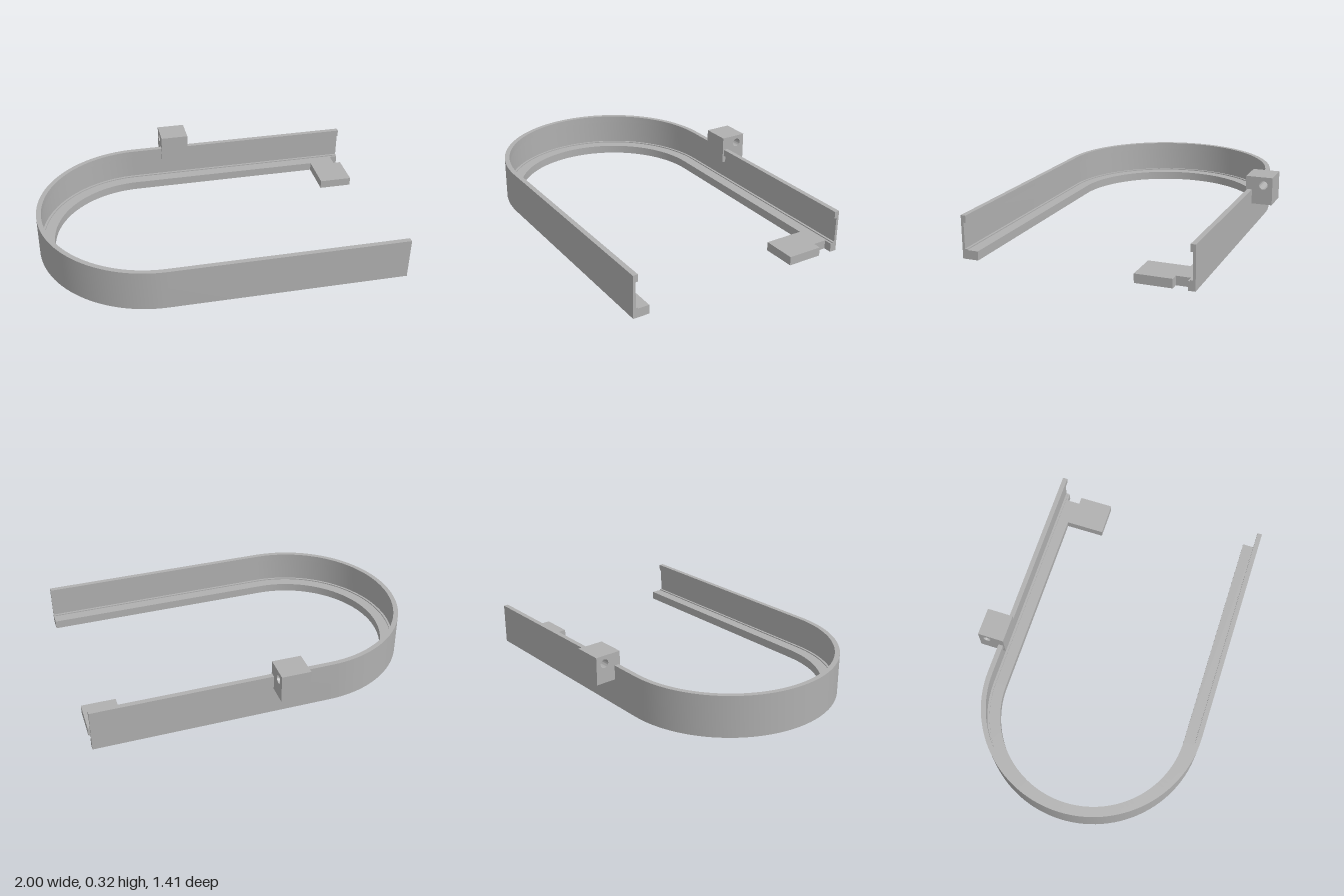
import * as THREE from 'three';
import { toCreasedNormals } from 'three/addons/utils/BufferGeometryUtils.js';

const R = 0.646, CX = -0.354, CZ = 0.059; // bend radius and centre

// Sweep a counter-clockwise [radius, height] profile along stations { x, a }
function sweep(profile, stations) {
  const pos = [];
  const rings = stations.map(({ x, a }) => profile.map(([r, y]) =>
    [x - r * Math.sin(a), y, CZ + r * Math.cos(a)]));
  const tri = (a, b, c) => pos.push(...a, ...b, ...c);
  for (let k = 0; k < rings.length - 1; k++) {
    const p = rings[k], q = rings[k + 1];
    for (let i = 0; i < profile.length; i++) {
      const j = (i + 1) % profile.length;
      tri(p[i], p[j], q[j]);
      tri(p[i], q[j], q[i]);
    }
  }
  // End caps
  const first = rings[0], last = rings[rings.length - 1];
  const faces = THREE.ShapeUtils.triangulateShape(profile.map(p => new THREE.Vector2(...p)), []);
  for (const [a, b, c] of faces) {
    tri(first[a], first[c], first[b]);
    tri(last[a], last[b], last[c]);
  }
  const geo = new THREE.BufferGeometry();
  geo.setAttribute('position', new THREE.Float32BufferAttribute(pos, 3));
  return toCreasedNormals(geo, 0.5);
}

function polygon(points) {
  return new THREE.Shape(points.map(p => new THREE.Vector2(...p)));
}

export function createModel() {
  const group = new THREE.Group();
  const grey = new THREE.MeshStandardMaterial({ color: 0xb0b0b0 });
  grey.name = 'grey';
  const add = (name, geo) => {
    const mesh = new THREE.Mesh(geo, grey);
    mesh.name = name;
    group.add(mesh);
    return mesh;
  };

  // Channel section: tall wall, lip at the top, wide ledge at the foot
  const channel = (inner) => [
    [R, 0], [R, 0.24], [0.618, 0.24], [0.618, 0.2], [0.631, 0.2],
    [0.631, 0.056], [0.618, 0.056], [0.618, 0.05], [inner, 0.05], [inner, 0],
  ];

  // U-shaped rail: front arm, half-round bend, back arm
  const path = [{ x: 1, a: 0 }];
  const steps = 56;
  for (let i = 0; i <= steps; i++) path.push({ x: CX, a: Math.PI * i / steps });
  path.push({ x: 0.955, a: Math.PI });
  add('channelRail', sweep(channel(0.555), path));

  // Last stretch of the back arm, its ledge narrowed by the notch
  add('notchedRailEnd', sweep(channel(0.607),
    [{ x: 0.955, a: Math.PI }, { x: 1, a: Math.PI }]));

  // Flat foot at the end of the back arm, notched at the corner
  const foot = new THREE.ExtrudeGeometry(polygon([
    [0.805, -0.5], [0.955, -0.5], [0.955, -0.47], [1, -0.47], [1, -0.267], [0.805, -0.267],
  ]), { depth: 0.05, bevelEnabled: false });
  foot.rotateX(Math.PI / 2);
  add('footTab', foot).position.y = 0.05;

  // Block on the back wall with a hole bored along x
  const side = polygon([[0.551, 0.157], [0.705, 0.157], [0.705, 0.317], [0.551, 0.317]]);
  side.holes.push(new THREE.Path().absarc(0.653, 0.27, 0.025, 0, Math.PI * 2, true));
  const block = new THREE.ExtrudeGeometry(side, { depth: 0.166, bevelEnabled: false, curveSegments: 24 });
  block.rotateY(Math.PI / 2);
  add('mountingBlock', toCreasedNormals(block, 0.5)).position.x = -0.177;

  return group;
}
